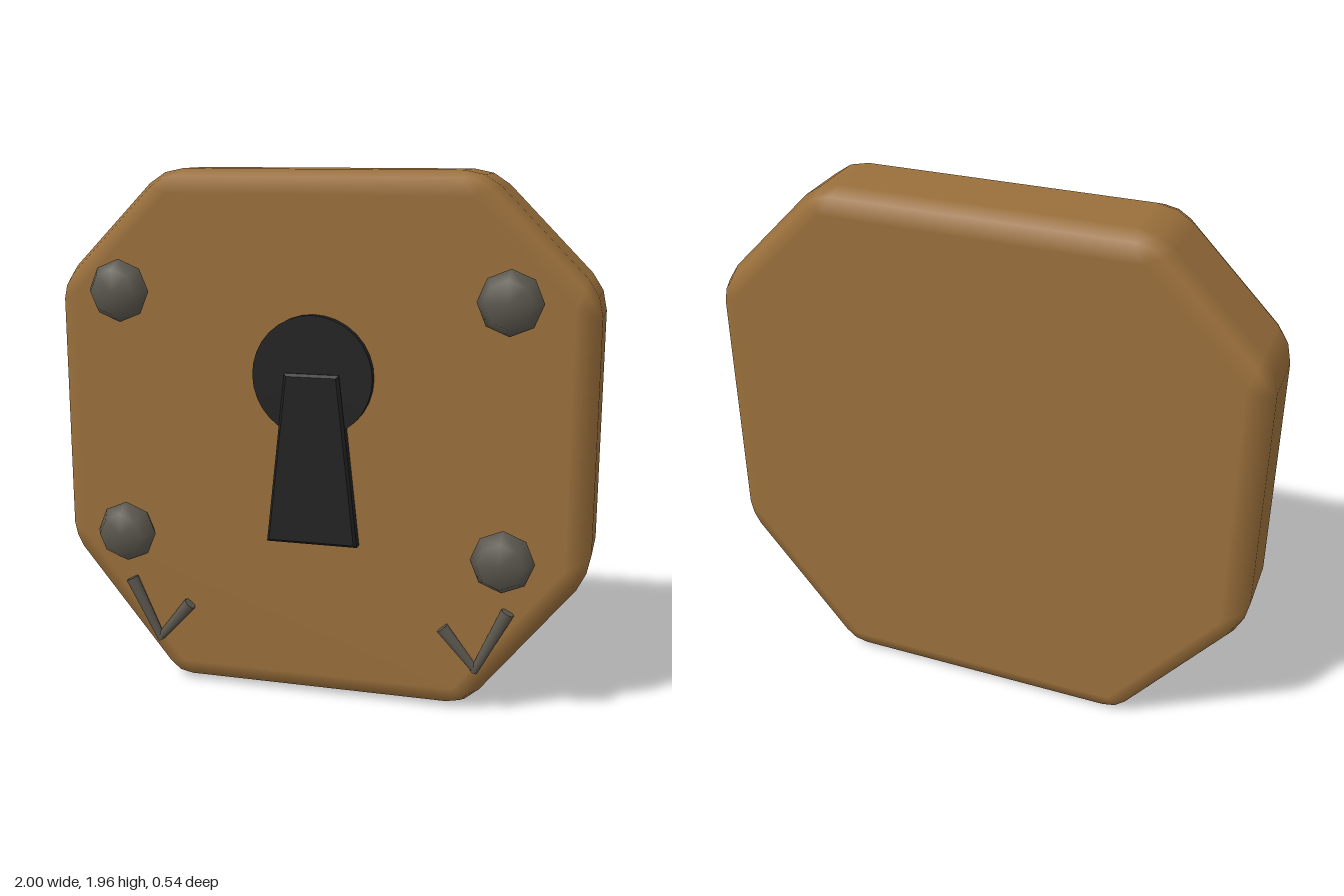
import * as THREE from 'three';

const wood = new THREE.MeshStandardMaterial({ name: 'tan body', color: 0x9a6f3b });
const iron = new THREE.MeshStandardMaterial({ name: 'grey iron', color: 0x5b574e });
const black = new THREE.MeshStandardMaterial({ name: 'black keyhole', color: 0x222222 });

function addMesh(parent, name, geometry, material, x = 0, y = 0, z = 0) {
  const mesh = new THREE.Mesh(geometry, material);
  mesh.name = name;
  mesh.position.set(x, y, z);
  parent.add(mesh);
  return mesh;
}

// Octagonal slab with every edge rounded: rings of corner points from back to front
function slabGeometry(back, front, bevel) {
  const half = [[0.565, 0], [1, 0.54], [1, 1.54], [0.59, 1.955]];
  const corners = [...half, ...half.map(([x, y]) => [-x, y]).reverse()]
    .map(([x, y]) => new THREE.Vector2(x, y));
  const n = corners.length;
  const columns = [];
  corners.forEach((v, i) => {
    const into = v.clone().sub(corners[(i + n - 1) % n]).normalize();
    const out = corners[(i + 1) % n].clone().sub(v).normalize();
    const n1 = new THREE.Vector2(into.y, -into.x);
    const n2 = new THREE.Vector2(out.y, -out.x);
    const mid = n1.clone().add(n2).normalize();
    const inner = v.clone().addScaledVector(mid, -bevel / mid.dot(n1));
    columns.push(
      { inner, outer: v.clone().addScaledVector(into, -bevel * 0.9), normal: n1 },
      { inner, outer: v.clone().addScaledVector(mid, -0.016), normal: mid },
      { inner, outer: v.clone().addScaledVector(out, bevel * 0.9), normal: n2 });
  });

  const rings = [[-90, back + bevel], [-45, back + bevel], [0, back + bevel],
    [0, front - bevel], [45, front - bevel], [90, front - bevel]];
  const position = [], normal = [], index = [];
  for (const [degrees, z] of rings) {
    const c = Math.cos(degrees * Math.PI / 180), s = Math.sin(degrees * Math.PI / 180);
    for (const col of columns) {
      const p = col.inner.clone().lerp(col.outer, c);
      position.push(p.x, p.y, z + bevel * s);
      normal.push(col.normal.x * c, col.normal.y * c, s);
    }
  }
  const m = columns.length;
  for (let j = 0; j < rings.length - 1; j++) {
    for (let i = 0; i < m; i++) {
      const a = j * m + i, b = j * m + (i + 1) % m;
      index.push(a, b, b + m, a, b + m, a + m);
    }
  }
  // Flat back and front faces
  const last = (rings.length - 1) * m;
  for (let i = 1; i < m - 1; i++) {
    index.push(0, i + 1, i, last, last + i, last + i + 1);
  }
  const geometry = new THREE.BufferGeometry();
  geometry.setAttribute('position', new THREE.Float32BufferAttribute(position, 3));
  geometry.setAttribute('normal', new THREE.Float32BufferAttribute(normal, 3));
  geometry.setIndex(index);
  return geometry;
}

// Tapered iron bar between two points, thick end first
function bar(parent, name, from, to) {
  const a = new THREE.Vector3(...from), b = new THREE.Vector3(...to);
  const dir = b.clone().sub(a);
  const geometry = new THREE.CylinderGeometry(0.015, 0.025, dir.length(), 8);
  const mesh = addMesh(parent, name, geometry, iron);
  mesh.position.copy(a).add(b).multiplyScalar(0.5);
  mesh.quaternion.setFromUnitVectors(new THREE.Vector3(0, 1, 0), dir.normalize());
}

export function createModel() {
  const model = new THREE.Group();
  model.name = 'padlock';

  addMesh(model, 'body', slabGeometry(-0.27, 0.12, 0.085), wood);

  // Keyhole: round disc and a flared slot
  const disc = new THREE.CylinderGeometry(0.222, 0.222, 0.05, 32).rotateX(Math.PI / 2);
  addMesh(model, 'keyholeDisc', disc, black, 0, 1.23, 0.125);
  const slot = new THREE.Shape([[-0.16, 0.62], [0.16, 0.62], [0.092, 1.232], [-0.092, 1.232]]
    .map(([x, y]) => new THREE.Vector2(x, y)));
  const slotGeometry = new THREE.ExtrudeGeometry(slot, {
    depth: 0.045, bevelSize: 0.01, bevelThickness: 0.01, bevelSegments: 1,
  });
  addMesh(model, 'keyholeSlot', slotGeometry, black, 0, 0, 0.11);

  // Four eight-sided bolts
  const boltProfile = [[0, -0.063], [0.082, -0.063], [0.114, 0], [0.082, 0.063], [0, 0.063]]
    .map(([r, h]) => new THREE.Vector2(r, h));
  const boltGeometry = new THREE.LatheGeometry(boltProfile, 8).rotateX(Math.PI / 2);
  for (const side of [-1, 1]) {
    for (const y of [0.62, 1.525]) {
      addMesh(model, 'bolt', boltGeometry, iron, side * 0.705, y, 0.208);
    }

    // V-shaped mark in each lower corner
    const mark = new THREE.Group();
    mark.name = 'cornerMark';
    bar(mark, 'longBar', [side * 0.722, 0.41, 0.138], [side * 0.605, 0.172, 0.14]);
    bar(mark, 'shortBar', [side * 0.487, 0.328, 0.138], [side * 0.61, 0.182, 0.14]);
    model.add(mark);
  }
  return model;
}
